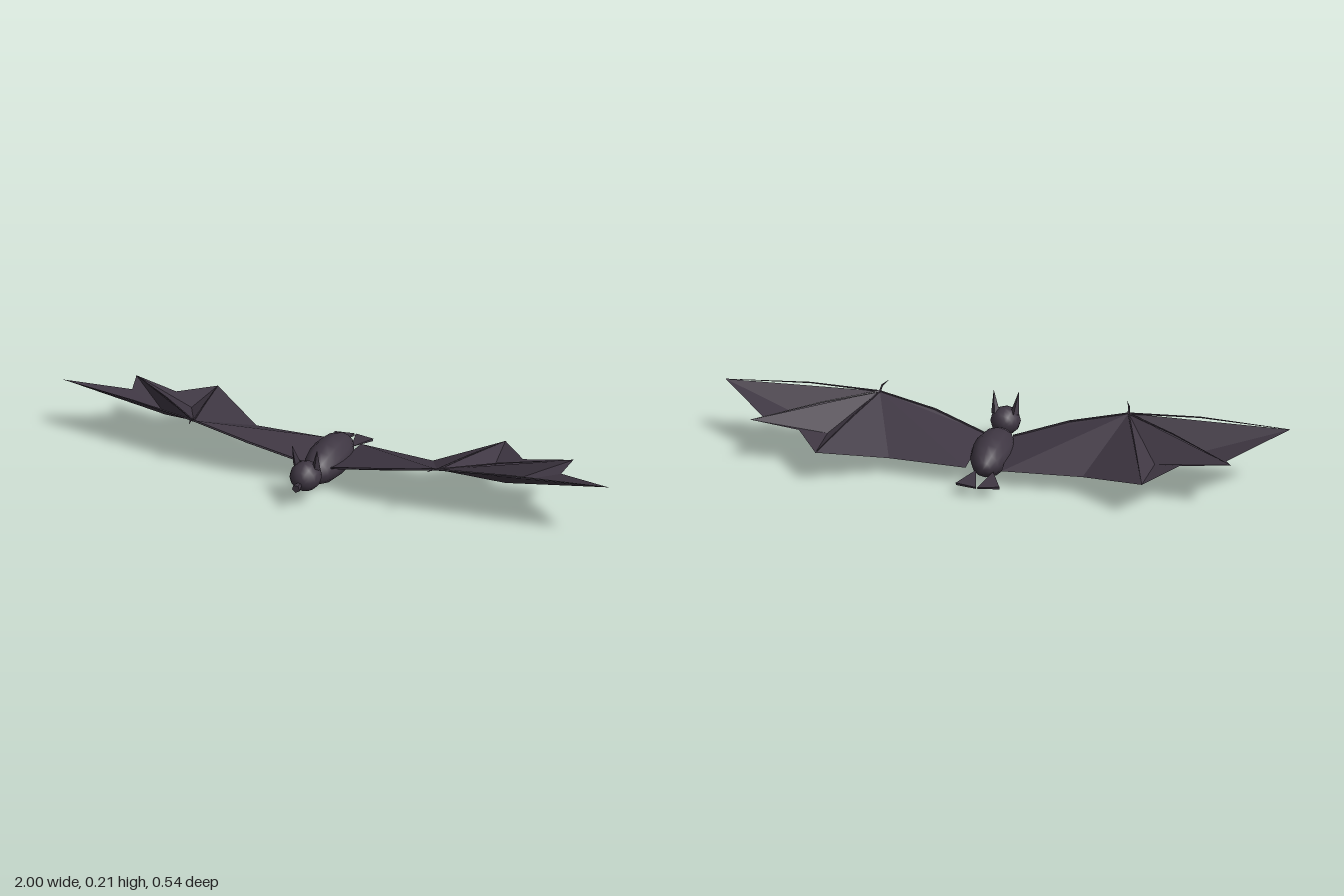
import * as THREE from 'three';

const V = (x, y, z) => new THREE.Vector3(x, y, z);

export function createModel() {
  const fur = new THREE.MeshStandardMaterial({ color: 0x3f3743, side: THREE.DoubleSide });
  fur.name = 'dark fur';
  const model = new THREE.Group();
  model.name = 'bat';

  const add = (name, geometry, parent = model) => {
    const mesh = new THREE.Mesh(geometry, fur);
    mesh.name = name;
    parent.add(mesh);
    return mesh;
  };

  // Tapered rod or cone running from a to b
  const rod = (name, a, b, ra, rb, sides, parent) => {
    const dir = b.clone().sub(a);
    const g = new THREE.CylinderGeometry(rb, ra, dir.length(), sides).toNonIndexed();
    g.computeVertexNormals();
    const mesh = add(name, g, parent);
    mesh.position.copy(a).add(b).multiplyScalar(0.5);
    mesh.quaternion.setFromUnitVectors(V(0, 1, 0), dir.normalize());
  };

  // Flat-faced sheet fanned around its first point; flip reverses the facing
  const fan = (name, [hub, ...rim], flip, parent) => {
    if (flip) rim.reverse();
    const corners = [];
    for (let i = 0; i < rim.length - 1; i++) corners.push(hub, rim[i], rim[i + 1]);
    const g = new THREE.BufferGeometry().setFromPoints(corners);
    g.computeVertexNormals();
    add(name, g, parent);
  };

  // Body and head
  const body = add('body', new THREE.SphereGeometry(1, 12, 9).rotateX(Math.PI / 2));
  body.scale.set(0.072, 0.068, 0.152);
  body.position.set(0, 0.067, -0.014);
  const head = add('head', new THREE.SphereGeometry(0.057, 12, 9).rotateX(Math.PI / 2));
  head.scale.set(0.95, 0.9, 1);
  head.position.set(0, 0.1, 0.188);
  rod('snout', V(0, 0.094, 0.21), V(0, 0.092, 0.271), 0.002, 0.015, 5);

  // Both sides share one recipe; s mirrors x
  for (const s of [1, -1]) {
    const P = (x, y, z) => V(s * x, y, z);
    const side = s > 0 ? 'left' : 'right';
    const mirrored = s < 0;

    rod(side + 'Ear', P(0.034, 0.13, 0.178), P(0.045, 0.208, 0.196), 0.016, 0.0005, 4);

    // Foot: thin wedge fanning backwards
    const apex = P(0.03, 0.052, -0.14);
    const outTop = P(0.075, 0.046, -0.24), inTop = P(0.002, 0.044, -0.255);
    const outLow = P(0.075, 0.037, -0.238), inLow = P(0.002, 0.036, -0.25);
    fan(side + 'Foot', [apex, outTop, inTop, inLow, outLow, outTop], mirrored);
    fan(side + 'FootEnd', [outTop, outLow, inLow, inTop], mirrored);

    // Wing landmarks: bones, finger tips and scallops between them
    const wing = new THREE.Group();
    wing.name = side + 'Wing';
    model.add(wing);
    const shoulder = P(0.05, 0.088, 0.086);
    const elbow = P(0.24, 0.145, 0.125);
    const wrist = P(0.445, 0.192, 0.133);
    const tips = [P(0.998, 0.214, 0.068), P(0.825, 0.165, -0.152), P(0.553, 0.121, -0.271)];
    const outerScallop = P(0.805, 0.145, -0.08);
    const midScallop = P(0.656, 0.138, -0.139);
    const innerScallop = P(0.336, 0.064, -0.139);
    const root = P(0.062, 0.064, -0.155);

    // Membrane panels; the two finger panels sag to a low point
    const outerSag = P(0.635, 0.108, -0.012);
    const midSag = P(0.57, 0.113, -0.09);
    fan('outerPanel', [outerSag, wrist, tips[0], outerScallop, tips[1], wrist], mirrored, wing);
    fan('middlePanel', [midSag, wrist, tips[1], midScallop, tips[2], wrist], mirrored, wing);
    fan('innerPanel', [wrist, tips[2], innerScallop, root, shoulder, elbow], mirrored, wing);

    // Arm and finger bones, fingers bowed slightly above the membrane
    rod('upperArm', shoulder, elbow, 0.004, 0.004, 5, wing);
    rod('forearm', elbow, wrist, 0.004, 0.0035, 5, wing);
    const bow = [0.009, 0.007, 0.004];
    tips.forEach((tip, i) => {
      const knuckle = wrist.clone().lerp(tip, 0.45).add(V(0, bow[i], i ? 0 : 0.007));
      rod('fingerBase', wrist, knuckle, 0.0035, 0.0025, 5, wing);
      rod('fingerTip', knuckle, tip, 0.0025, 0.0008, 5, wing);
    });

    // Thumb claw
    const bend = P(0.443, 0.206, 0.157);
    rod('thumb', wrist, bend, 0.004, 0.0035, 5, wing);
    rod('claw', bend, P(0.43, 0.211, 0.195), 0.0035, 0.0005, 5, wing);
  }
  return model;
}
